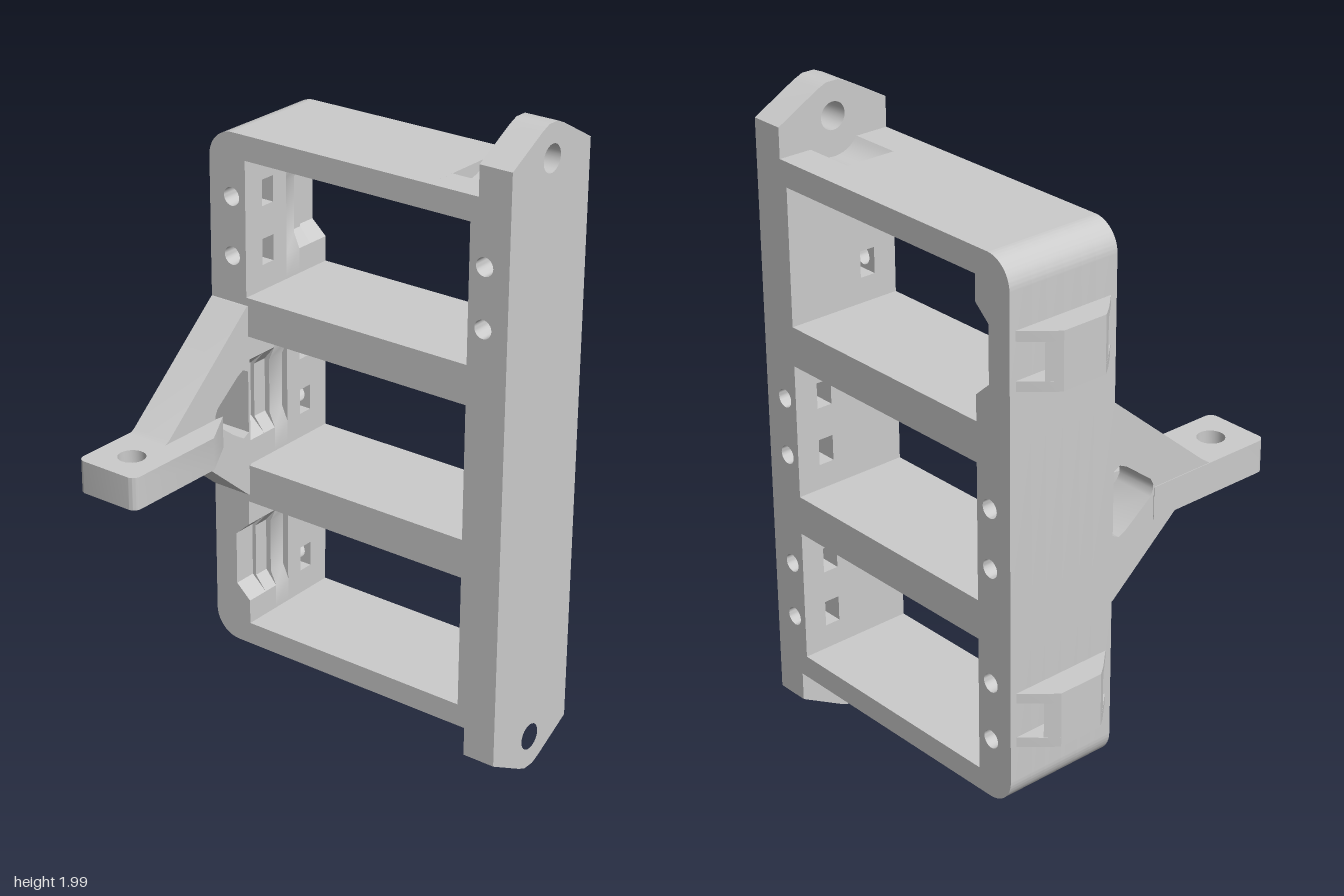
import * as THREE from 'three';
import { toCreasedNormals } from 'three/addons/utils/BufferGeometryUtils.js';

const material = new THREE.MeshStandardMaterial({ color: 0xcccccc });
const MID_Z = -0.295;   // middle of the frame depth
const MID_Y = 1.005;    // middle of the frame height

const shapeOf = pts => new THREE.Shape(pts.map(([a, b]) => new THREE.Vector2(a, b)));
const circle = (x, y, r) => new THREE.Path().absarc(x, y, r, 0, Math.PI * 2, true);

// Extrude a shape from a to b. Shape axes: 'z' (x, y), 'x' (-z, y), 'y' (x, -z).
function extrude(name, shape, a, b, axis) {
  let g = new THREE.ExtrudeGeometry(shape, { depth: b - a, bevelEnabled: false, curveSegments: 12 });
  g.translate(0, 0, a);
  if (axis === 'x') g.rotateY(Math.PI / 2);
  if (axis === 'y') g.rotateX(-Math.PI / 2);
  g = toCreasedNormals(g, 0.6);
  const mesh = new THREE.Mesh(g, material);
  mesh.name = name;
  return mesh;
}

// Outer outline of the frame, with room left for the grooved corner blocks
function frameOutline() {
  const s = new THREE.Shape();
  s.moveTo(0.555, 0.245);
  s.lineTo(0.555, 1.765);
  s.lineTo(0.29, 1.765);
  s.lineTo(0.29, 1.82);
  s.lineTo(-0.4, 1.82);
  s.absarc(-0.395, 1.735, 0.085, Math.PI / 2, Math.PI, false);
  s.absarc(-0.395, 0.275, 0.085, Math.PI, Math.PI * 1.5, false);
  s.lineTo(0.29, 0.19);
  s.lineTo(0.29, 0.245);
  s.closePath();
  return s;
}

// Bay opening: optional tapered pocket on one wall, optional nut slots on both
function bayOpening(c, pocket, slots) {
  const l = -0.35, r = 0.425, h = 0.2075, pts = [[l, c - h], [r, c - h]];
  const slotSide = (x, depth, dir) => {
    for (const k of [-1, 1]) {
      const y = c + k * dir * 0.09, e = dir * 0.04;
      pts.push([x, y - e], [x + depth, y - e], [x + depth, y + e], [x, y + e]);
    }
  };
  if (slots) slotSide(r, 0.08, 1);
  pts.push([r, c + h], [l, c + h]);
  if (slots) slotSide(l, -0.08, -1);
  if (pocket) pts.push([l, c + 0.13], [l - pocket, c + 0.085], [l - pocket, c - 0.085], [l, c - 0.13]);
  return new THREE.Path(pts.map(([x, y]) => new THREE.Vector2(x, y)));
}

function buildFrame() {
  const frame = new THREE.Group();
  frame.name = 'frame';
  // screws enter the two lower bays from the back and the top bay from the front
  const bays = [[0.4675, -1], [1.0025, -1], [1.5375, 1]];
  const cuts = [-0.185, -0.11, -0.06, 0, 0.06, 0.11, 0.185];
  for (let i = 0; i < cuts.length - 1; i++) {
    const shape = frameOutline();
    for (const [c, side] of bays) {
      const t = side * (cuts[i] + cuts[i + 1]) / 2;
      const pocket = t < -0.11 ? 0.05 : t < -0.06 ? 0.037 : t < 0 ? 0.02 : 0;
      shape.holes.push(bayOpening(c, pocket, t > 0.06 && t < 0.11));
      if (t > 0.11)
        for (const x of [-0.4, 0.475])
          for (const dy of [-0.09, 0.09]) shape.holes.push(circle(x, c + dy, 0.028));
    }
    frame.add(extrude('frameLayer', shape, MID_Z + cuts[i], MID_Z + cuts[i + 1], 'z'));
  }
  return frame;
}

// Mounting ear tip and grooved corner block, at the top (sign 1) or bottom (-1)
function buildEar(sign) {
  const ear = new THREE.Group();
  ear.name = sign > 0 ? 'topEar' : 'bottomEar';
  const flip = y => MID_Y + sign * (y - MID_Y);
  const u = -MID_Z;
  const tip = shapeOf([
    [u - 0.185, 1.765], [u + 0.185, 1.765], [u + 0.185, 1.91], [u + 0.05, 1.985],
    [u + 0.02, 1.998], [u - 0.02, 1.998], [u - 0.05, 1.985], [u - 0.185, 1.91],
  ].map(([a, y]) => [a, flip(y)]));
  tip.holes.push(circle(u, flip(1.898), 0.041));
  ear.add(extrude('earPlate', tip, 0.45, 0.555, 'x'));

  // screw-head clearance groove
  const block = [[u - 0.185, 1.82], [u - 0.185, 1.765], [u + 0.185, 1.765], [u + 0.185, 1.82]];
  for (let i = 0; i <= 12; i++) {
    const a = -0.645 - (Math.PI - 1.29) * (i / 12);
    block.push([u + 0.1 * Math.cos(a), 1.88 + 0.1 * Math.sin(a)]);
  }
  ear.add(extrude('groovedBlock', shapeOf(block.map(([a, y]) => [a, flip(y)])), 0.29, 0.45, 'x'));
  return ear;
}

// Cable-tie loop on the outer side wall
function buildTieLoop(c) {
  const loop = new THREE.Group();
  loop.name = 'tieLoop';
  const full = shapeOf([[-0.475, 0.125], [-0.535, 0.19], [-0.56, 0.222], [-0.56, 0.368], [-0.535, 0.4], [-0.475, 0.465]]);
  const bridge = shapeOf([
    [-0.56, 0.222], [-0.56, 0.368], [-0.53, 0.405], [-0.53, 0.345], [-0.475, 0.325],
    [-0.475, 0.265], [-0.53, 0.245], [-0.53, 0.185],
  ]);
  loop.add(extrude('loopBottom', full, c - 0.085, c - 0.055, 'y'));
  loop.add(extrude('loopBridge', bridge, c - 0.055, c + 0.055, 'y'));
  loop.add(extrude('loopTop', full, c + 0.055, c + 0.085, 'y'));
  return loop;
}

function buildArm() {
  const arm = new THREE.Group();
  arm.name = 'arm';
  // triangular gusset with a rounded window
  const gusset = shapeOf([[0.115, 0.7], [0.115, 1.305], [0.105, 1.305], [-0.245, 1.008], [-0.26, 1.0], [-0.26, 0.9], [-0.13, 0.9], [0.105, 0.7]]);
  const win = [[0.108, 1.1], [0.085, 1.112], [0.06, 1.1], [-0.032, 1.03], [-0.042, 1.01],
    [-0.042, 0.995], [-0.032, 0.975], [0.06, 0.905], [0.085, 0.893], [0.108, 0.905]];
  gusset.holes.push(new THREE.Path(win.map(([a, b]) => new THREE.Vector2(a, b))));
  arm.add(extrude('gusset', gusset, -0.478, -0.345, 'x'));

  // flat foot with a bolt hole
  const r = 0.025, foot = new THREE.Shape();
  foot.moveTo(-0.48, -0.045);
  foot.lineTo(-0.48, -0.48 + r);
  foot.absarc(-0.48 + r, -0.48 + r, r, Math.PI, Math.PI * 1.5, false);
  foot.absarc(-0.268 - r, -0.48 + r, r, -Math.PI / 2, 0, false);
  foot.lineTo(-0.268, -0.14);
  foot.lineTo(-0.342, -0.012);
  foot.lineTo(-0.347, -0.045);
  foot.closePath();
  foot.holes.push(circle(-0.372, -0.373, 0.041));
  arm.add(extrude('foot', foot, 0.9, 1.0, 'y'));
  return arm;
}

export function createModel() {
  const model = new THREE.Group();
  model.name = 'rackBracket';
  model.add(buildFrame(), buildEar(1), buildEar(-1), buildArm());
  for (const c of [1.54, 0.468]) model.add(buildTieLoop(c));
  return model;
}
